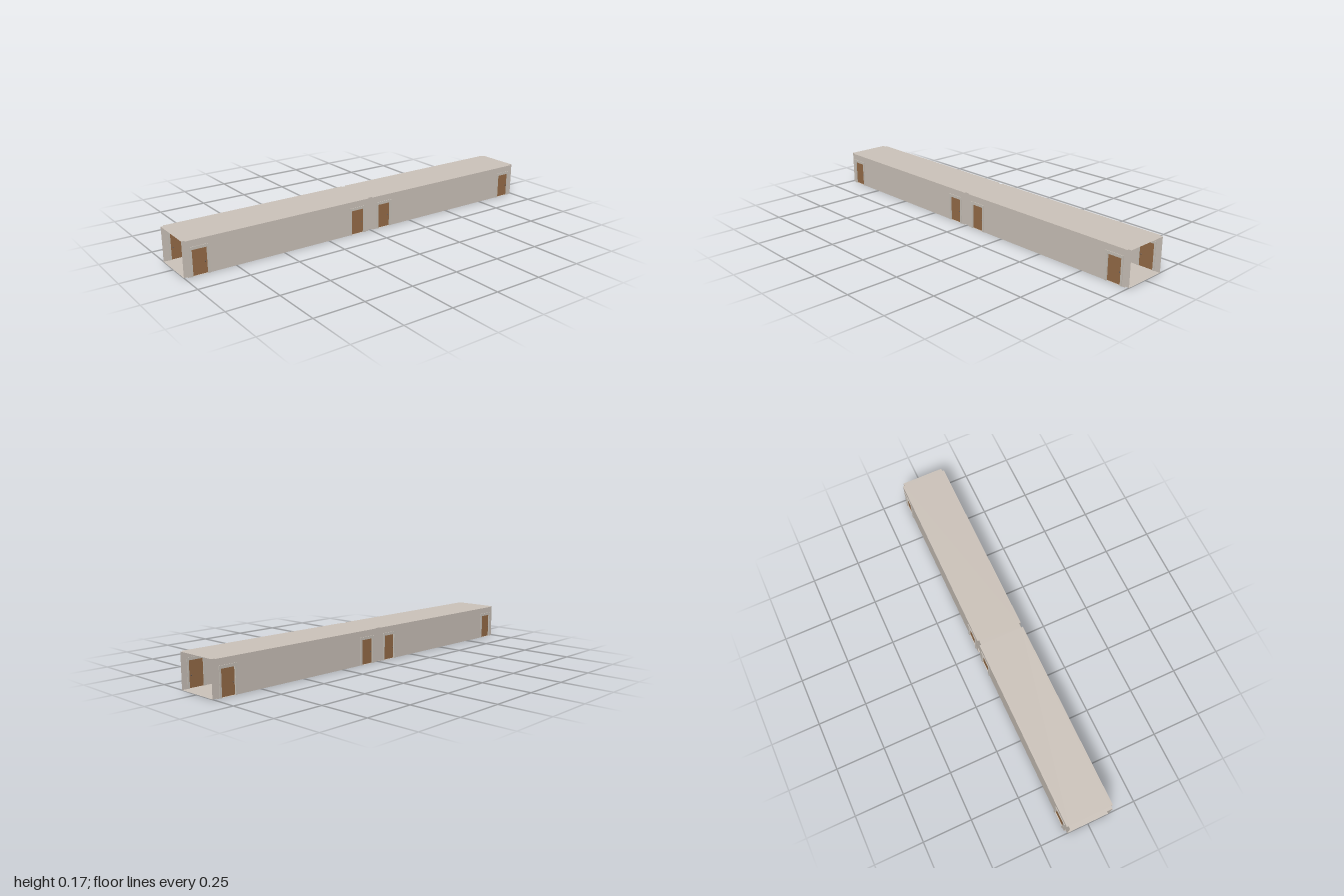
import * as THREE from 'three';

const HEIGHT = 0.17, INNER = 0.11, OUTER = 0.119;
const GAP = 0.012, END = 0.985;              // breaks in the outer wall skin
const DOOR_Z = [-0.924, -0.082, 0.082, 0.924];
const OPEN_HALF = 0.04, OPEN_TOP = 0.13;

export function createModel() {
  const plaster = new THREE.MeshStandardMaterial({ color: 0xcdc4bb, side: THREE.DoubleSide });
  plaster.name = 'plaster';
  const trim = new THREE.MeshStandardMaterial({ color: 0xcbc4bb });
  trim.name = 'trim';
  const wood = new THREE.MeshStandardMaterial({ color: 0x976d48 });
  wood.name = 'wood';
  const metal = new THREE.MeshStandardMaterial({ color: 0x55555c });
  metal.name = 'metal';

  const model = new THREE.Group();
  model.name = 'corridor';

  function add(parent, name, geometry, material) {
    const mesh = new THREE.Mesh(geometry, material);
    mesh.name = name;
    parent.add(mesh);
    return mesh;
  }

  // Box given by its limits on each axis
  function box(parent, name, material, x0, x1, y0, y1, z0, z1) {
    const mesh = add(parent, name, new THREE.BoxGeometry(x1 - x0, y1 - y0, z1 - z0), material);
    mesh.position.set((x0 + x1) / 2, (y0 + y1) / 2, (z0 + z1) / 2);
    return mesh;
  }

  // Thin wall along z with a doorway cut at each door in its range
  function wall(parent, name, x, z0, z1) {
    const shape = new THREE.Shape();
    shape.moveTo(z0, 0);
    for (const d of DOOR_Z) {
      if (d < z0 || d > z1) continue;
      shape.lineTo(d - OPEN_HALF, 0);
      shape.lineTo(d - OPEN_HALF, OPEN_TOP);
      shape.lineTo(d + OPEN_HALF, OPEN_TOP);
      shape.lineTo(d + OPEN_HALF, 0);
    }
    shape.lineTo(z1, 0);
    shape.lineTo(z1, HEIGHT);
    shape.lineTo(z0, HEIGHT);
    const geometry = new THREE.ShapeGeometry(shape).rotateY(-Math.PI / 2);
    add(parent, name, geometry, plaster).position.x = x;
  }

  // Floor and ceiling, narrower at the middle break and at both ends
  const edge = [[INNER, -1], [INNER, -END], [OUTER, -END], [OUTER, -GAP], [INNER, -GAP],
    [INNER, GAP], [OUTER, GAP], [OUTER, END], [INNER, END], [INNER, 1]];
  const outline = [...edge, ...edge.map(([x, z]) => [-x, -z])]
    .map(([x, z]) => new THREE.Vector2(x, z));
  for (const [name, y] of [['floor', 0], ['ceiling', HEIGHT]]) {
    const geometry = new THREE.ShapeGeometry(new THREE.Shape(outline)).rotateX(-Math.PI / 2);
    add(model, name, geometry, plaster).position.y = y;
  }

  // One door with its frame; +x points out of the corridor
  function doorway(parent, z) {
    const g = new THREE.Group();
    g.name = 'doorway';
    g.position.z = z;
    parent.add(g);
    for (const s of [-1, 1]) {
      const a = s * 0.036, b = s * 0.041;
      box(g, 'jamb', trim, 0.109, 0.122, 0, 0.128, Math.min(a, b), Math.max(a, b));
    }
    box(g, 'lintel', trim, 0.109, 0.122, 0.125, 0.128, -0.036, 0.036);
    // casing on both wall faces
    for (const [x0, x1] of [[0.1075, 0.1105], [0.1195, 0.1225]]) {
      box(g, 'casingSide', trim, x0, x1, 0, 0.128, 0.037, 0.046);
      box(g, 'casingSide', trim, x0, x1, 0, 0.128, -0.046, -0.037);
      box(g, 'casingHead', trim, x0, x1, 0.128, 0.139, -0.047, 0.047);
    }
    box(g, 'door', wood, 0.11, 0.115, 0.001, 0.125, -0.036, 0.036);
    for (const x of [0.1085, 0.1165]) {
      const knob = add(g, 'knob', new THREE.SphereGeometry(0.0025, 12, 8), metal);
      knob.position.set(x, 0.058, -0.027);
    }
  }

  // Both sides, the second turned half way round
  for (const [name, turn] of [['leftSide', 0], ['rightSide', Math.PI]]) {
    const side = new THREE.Group();
    side.name = name;
    side.rotation.y = turn;
    wall(side, 'innerWall', INNER, -1, 1);
    wall(side, 'outerWallFront', OUTER, GAP, END);
    wall(side, 'outerWallBack', OUTER, -END, -GAP);
    DOOR_Z.forEach((z) => doorway(side, z));
    model.add(side);
  }
  return model;
}
